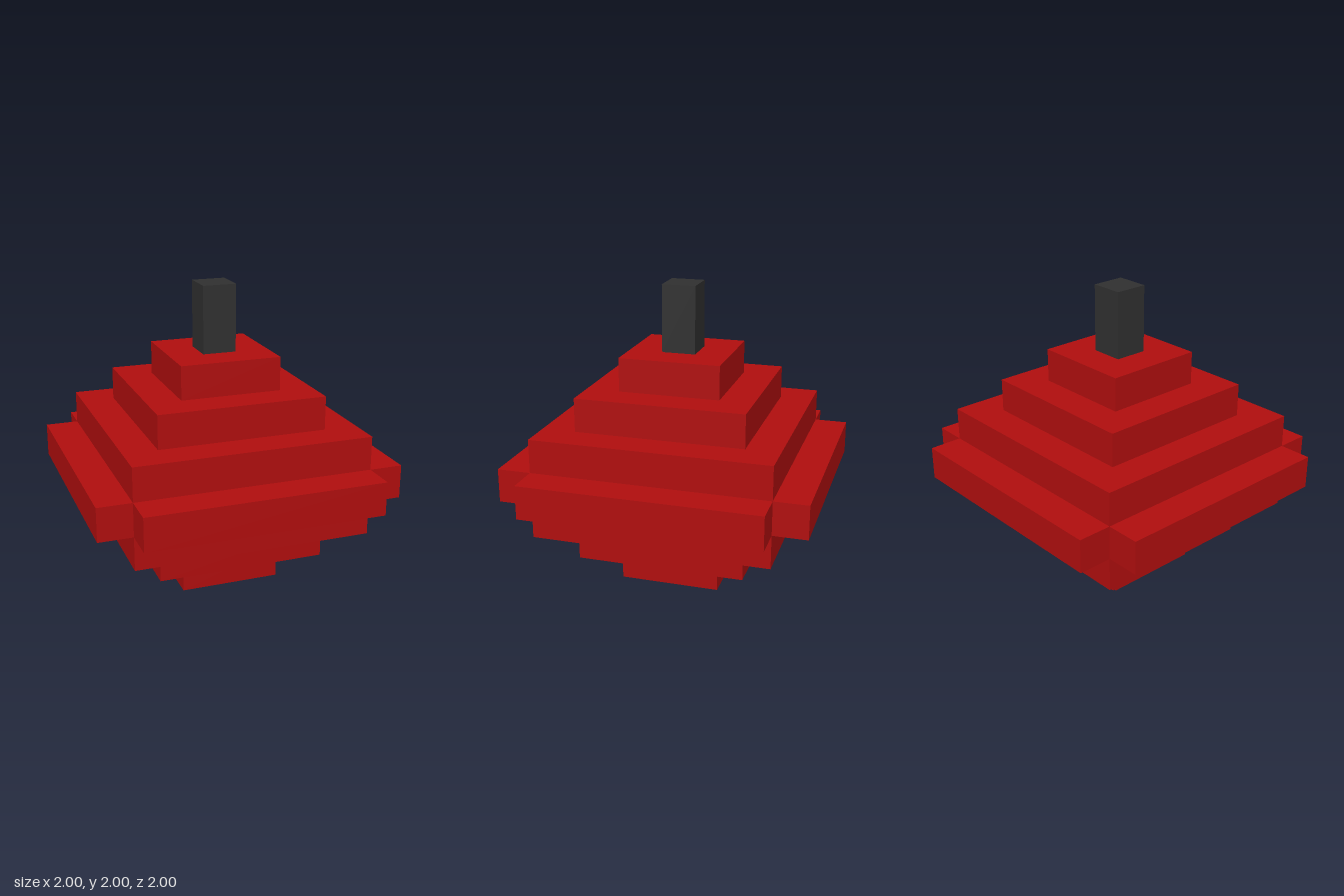
import * as THREE from 'three';

export function createModel() {
  const model = new THREE.Group();
  const U = 2 / 9; // one block

  const red = new THREE.MeshStandardMaterial({ color: 0xb00e0e });
  red.name = 'red';
  const charcoal = new THREE.MeshStandardMaterial({ color: 0x303030 });
  charcoal.name = 'charcoal';

  // Box measured in blocks, standing on level y
  function block(name, material, w, h, d, x, y, z) {
    const mesh = new THREE.Mesh(new THREE.BoxGeometry(w * U, h * U, d * U), material);
    mesh.position.set(x * U, (y + h / 2) * U, z * U);
    mesh.name = name;
    model.add(mesh);
  }

  // Stepped square body: [name, width, height, base level]
  const tiers = [
    ['bottomTier', 3, 1, 0],
    ['lowerTier', 5, 1, 1],
    ['middleTier', 7, 3, 2],
    ['upperTier', 5, 1, 5],
    ['topTier', 3, 1, 6],
  ];
  for (const [name, w, h, y] of tiers) block(name, red, w, h, w, 0, y, 0);

  // Rim bars on the four sides, leaving the corners open
  for (const s of [1, -1]) {
    block(s > 0 ? 'leftRim' : 'rightRim', red, 1, 1, 7, 4 * s, 3, 0);
    block(s > 0 ? 'frontRim' : 'backRim', red, 7, 1, 1, 0, 3, 4 * s);
  }

  // Stem
  block('stem', charcoal, 1, 2, 1, 0, 7, 0);

  return model;
}
